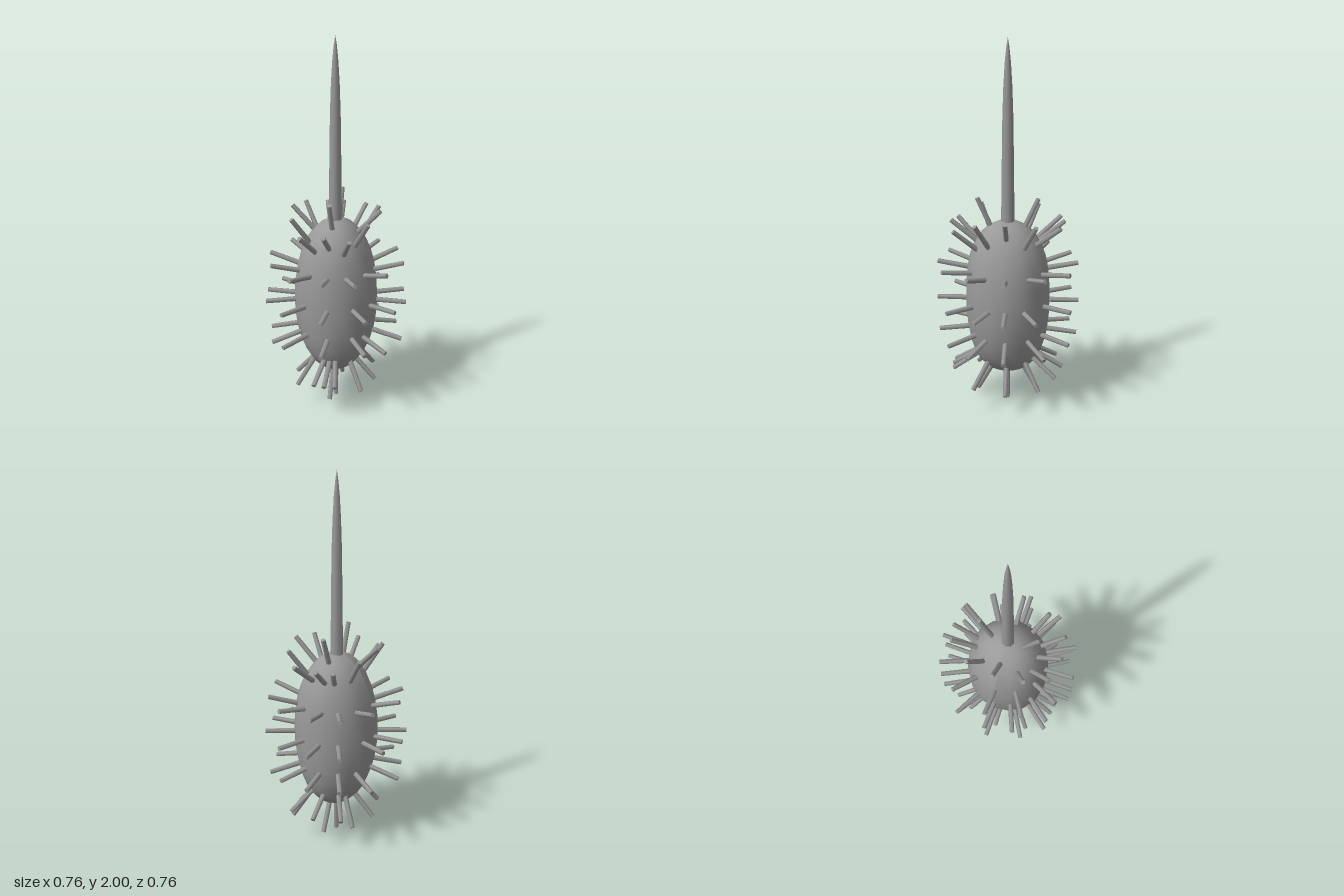
import * as THREE from 'three';

const CENTER_Y = 0.61, HALF_HEIGHT = 0.435, RADIUS = 0.225;
const material = new THREE.MeshStandardMaterial({ color: 0x999999 });

// Egg-shaped body, a little boxier from the side than from the front
function createBody() {
  const geometry = new THREE.SphereGeometry(1, 16, 16);
  const p = geometry.attributes.position;
  for (let i = 0; i < p.count; i++) {
    const t = p.getY(i) ** 2;
    p.setXYZ(i, p.getX(i) * RADIUS * (1 + 0.04 * t), p.getY(i) * HALF_HEIGHT, p.getZ(i) * RADIUS * (1 + 0.26 * t));
  }
  geometry.computeVertexNormals();
  const body = new THREE.Mesh(geometry, material);
  body.name = 'body';
  body.position.y = CENTER_Y;
  return body;
}

// Short blunt rod from inside the skin to its tip
function createSpine(base, tip) {
  const axis = tip.clone().sub(base).normalize();
  const start = base.clone().addScaledVector(axis, -0.04);
  const length = start.distanceTo(tip);
  const spine = new THREE.Mesh(new THREE.CylinderGeometry(0.013, 0.015, length, 5), material);
  spine.name = 'spine';
  spine.position.copy(start).lerp(tip, 0.5);
  spine.quaternion.setFromUnitVectors(new THREE.Vector3(0, 1, 0), axis);
  return spine;
}

// Each ring: base radius and height, tip radius and height, angles from +x toward +z
const rings = [
  { base: [0.085, 1.0], tip: [0.16, 1.165], angles: [90, 270] },
  { base: [0.12, 0.98], tip: [0.235, 1.1], angles: [0, 180] },
  { base: [0.15, 0.93], tip: [0.255, 1.075], angles: [38, 142, 218, 322] },
  { base: [0.17, 0.935], tip: [0.3, 1.04], angles: [90, 249, 266, 291] },
  { base: [0.17, 0.9], tip: [0.305, 1.02], angles: [65, 115] },
  { base: [0.205, 0.775], tip: [0.362, 0.822], angles: [0, 32, 148, 180, 215, 325] },
  { base: [0.215, 0.78], tip: [0.375, 0.808], angles: [63, 90, 117, 243, 267, 297] },
  { base: [0.22, 0.6], tip: [0.38, 0.6], angles: [0, 24, 54, 90, 126, 156, 180, 206, 243, 270, 297, 334] },
  { base: [0.205, 0.42], tip: [0.362, 0.38], angles: [0, 32, 148, 180, 215, 325] },
  { base: [0.215, 0.43], tip: [0.372, 0.41], angles: [54, 90, 126, 243, 270, 297] },
  { base: [0.17, 0.28], tip: [0.3, 0.2], angles: [79, 101, 90, 241, 270, 299] },
  { base: [0.145, 0.26], tip: [0.25, 0.13], angles: [45, 135, 225, 315] },
  { base: [0.12, 0.23], tip: [0.22, 0.12], angles: [0, 180] },
  { base: [0.085, 0.2], tip: [0.165, 0.055], angles: [90, 270] },
  { base: [0, 0.19], tip: [0, 0], angles: [0] },
];

function createSpines() {
  const spines = new THREE.Group();
  spines.name = 'spines';
  for (const { base, tip, angles } of rings) {
    for (const degrees of angles) {
      const a = THREE.MathUtils.degToRad(degrees);
      const at = ([r, y]) => new THREE.Vector3(r * Math.cos(a), y, r * Math.sin(a));
      spines.add(createSpine(at(base), at(tip)));
    }
  }
  return spines;
}

// Long slender spike rising from the top
function createSpike() {
  const profile = [
    [0.036, 1.0], [0.034, 1.15], [0.031, 1.4], [0.028, 1.6],
    [0.023, 1.75], [0.016, 1.87], [0.008, 1.95], [0, 2.0],
  ].map(([r, y]) => new THREE.Vector2(r, y));
  const spike = new THREE.Mesh(new THREE.LatheGeometry(profile, 8), material);
  spike.name = 'longSpike';
  spike.position.x = -0.004;
  return spike;
}

export function createModel() {
  const model = new THREE.Group();
  model.name = 'spikyPod';
  model.add(createBody(), createSpines(), createSpike());
  return model;
}
